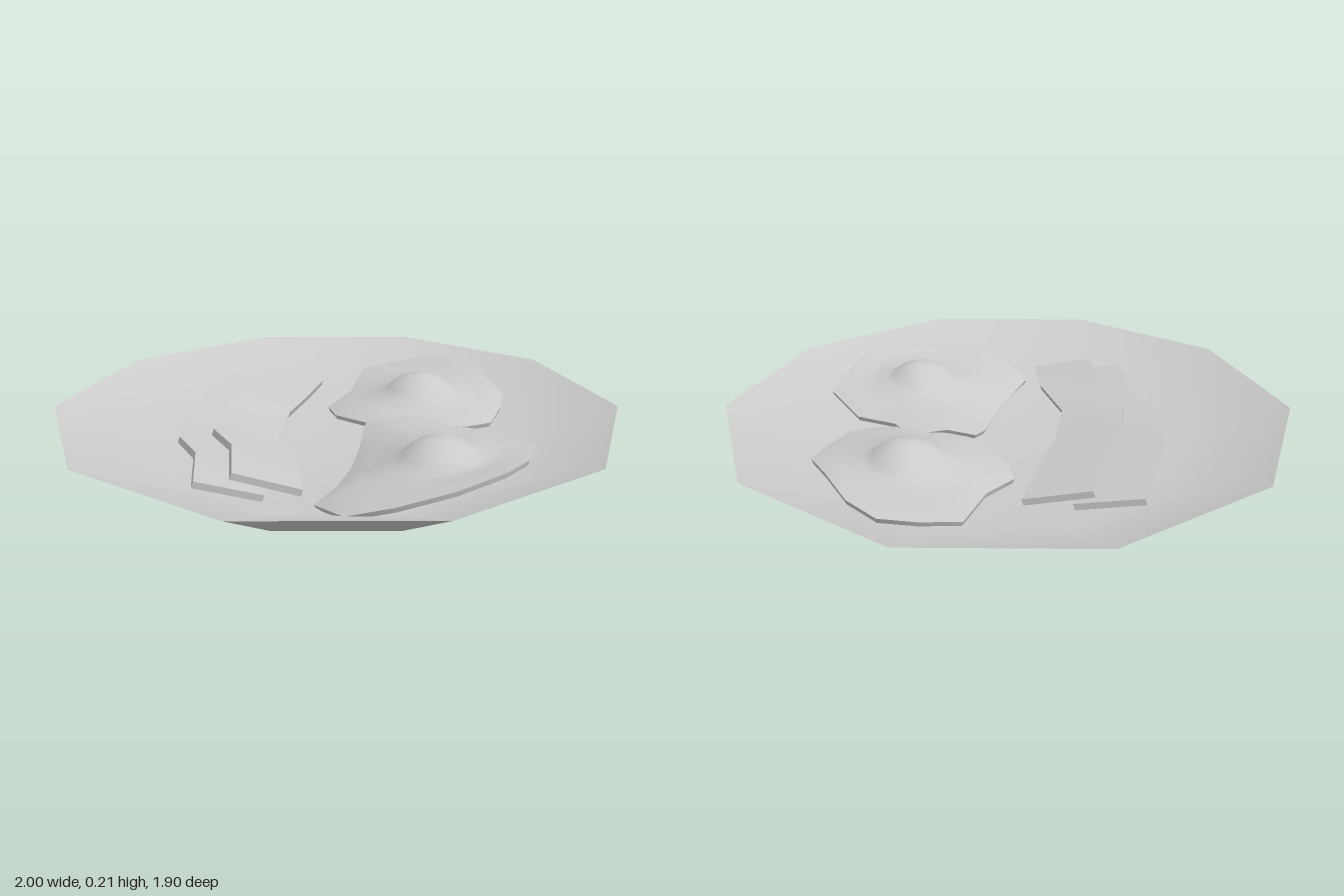
import * as THREE from 'three';
import { toCreasedNormals } from 'three/addons/utils/BufferGeometryUtils.js';

const material = new THREE.MeshStandardMaterial({ color: 0xcccccc, side: THREE.DoubleSide });

function addMesh(parent, name, geometry) {
  const mesh = new THREE.Mesh(geometry, material);
  mesh.name = name;
  parent.add(mesh);
}

function lathe(profile, sides) {
  const points = profile.map(([r, y]) => new THREE.Vector2(r, y));
  return new THREE.LatheGeometry(points, sides, Math.PI / 2);
}

// Join equal-sized cross-section loops into one skin, smooth except at sharp edges
function loft(loops, capEnds = false) {
  const n = loops[0].length;
  const index = [];
  for (let i = 0; i < loops.length - 1; i++) {
    for (let j = 0; j < n; j++) {
      const a = i * n + j, b = i * n + (j + 1) % n;
      index.push(a, b, a + n, b, b + n, a + n);
    }
  }
  if (capEnds) {
    const last = (loops.length - 1) * n;
    for (let j = 1; j < n - 1; j++) {
      index.push(0, j + 1, j, last, last + j, last + j + 1);
    }
  }
  const geometry = new THREE.BufferGeometry();
  geometry.setAttribute('position', new THREE.Float32BufferAttribute(loops.flat(2), 3));
  geometry.setIndex(index);
  return toCreasedNormals(geometry, 1.1);
}

// Wavy strip: stations of [left x, z, height change], tilted down to its right
function baconStrip(stations, leftY, rightY) {
  const width = 0.22, thick = 0.022, lean = 0.008;
  return loft(stations.map(([x, z, dy]) => [
    [x, leftY + dy, z],
    [x - lean, leftY + dy - thick, z],
    [x + width - lean, rightY + dy - thick, z + 0.027],
    [x + width, rightY + dy, z + 0.027],
  ]), true);
}

// Fried egg: yolk rings flow out into a white with an irregular rim [x, y, z]
function friedEgg(rim, [cx, cz], tilt) {
  const baseY = 0.142;
  const yolkRing = (r, lift) => rim.map(([x, , z]) => {
    const a = Math.atan2(z - cz, x - cx);
    const dx = Math.cos(a) * r;
    return [cx + dx, baseY + lift + dx * tilt, cz + Math.sin(a) * r];
  });
  const inner = yolkRing(0.15, 0);
  const whiteRing = (t, lift) => rim.map((p, i) =>
    p.map((v, k) => THREE.MathUtils.lerp(inner[i][k], v, t) + (k === 1 ? lift : 0)));
  return loft([
    yolkRing(0.0005, 0.069), yolkRing(0.04, 0.065), yolkRing(0.08, 0.051), yolkRing(0.115, 0.022),
    inner, whiteRing(0.5, 0.008), whiteRing(1, 0), whiteRing(0.97, -0.018),
  ]);
}

export function createModel() {
  const model = new THREE.Group();

  // Ten-sided shallow plate
  const plate = new THREE.Group();
  plate.name = 'plate';
  addMesh(plate, 'plateUnderside', lathe([[0, 0], [0.65, 0], [1, 0.19]], 10));
  addMesh(plate, 'plateInside', lathe([[1, 0.19], [0.64, 0.05], [0, 0.05]], 10));
  model.add(plate);

  // Two overlapping bacon strips
  const lower = [
    [-0.43, -0.57, 0], [-0.475, -0.36, 0.005], [-0.54, -0.14, 0.01],
    [-0.54, 0.13, -0.01], [-0.46, 0.33, 0.01], [-0.44, 0.55, 0],
  ];
  const upper = lower.map(([x, z, dy], i) => [x + (i < 1 ? 0.16 : i < 3 ? 0.15 : 0.118), z - 0.003, dy]);
  addMesh(model, 'lowerBacon', baconStrip(lower, 0.135, 0.1));
  addMesh(model, 'upperBacon', baconStrip(upper, 0.162, 0.117));

  // Back egg, and front egg whose left edge sinks into the plate
  addMesh(model, 'backEgg', friedEgg([
    [0.64, 0.14, -0.32], [0.62, 0.12, -0.2], [0.56, 0.11, -0.05], [0.47, 0.11, -0.01],
    [0.36, 0.11, 0], [0.22, 0.1, -0.01], [0.11, 0.1, -0.08], [0, 0.08, -0.22],
    [-0.03, 0.075, -0.33], [0.06, 0.095, -0.47], [0.12, 0.125, -0.7],
    [0.25, 0.14, -0.73], [0.37, 0.16, -0.745], [0.47, 0.18, -0.67], [0.56, 0.18, -0.5],
  ], [0.32, -0.33], 0.04));
  addMesh(model, 'frontEgg', friedEgg([
    [0.665, 0.14, 0.25], [0.6, 0.18, 0.49], [0.505, 0.2, 0.64], [0.35, 0.17, 0.71],
    [0.17, 0.135, 0.745], [0.02, 0.09, 0.71], [-0.07, 0.06, 0.56], [0, 0.052, 0.4],
    [0.05, 0.052, 0.24], [0.08, 0.06, 0.08], [0.11, 0.11, -0.07], [0.21, 0.125, -0.06],
    [0.3, 0.125, -0.09], [0.36, 0.12, -0.06], [0.4, 0.12, 0], [0.54, 0.12, 0.06],
  ], [0.325, 0.37], 0.1));
  return model;
}
